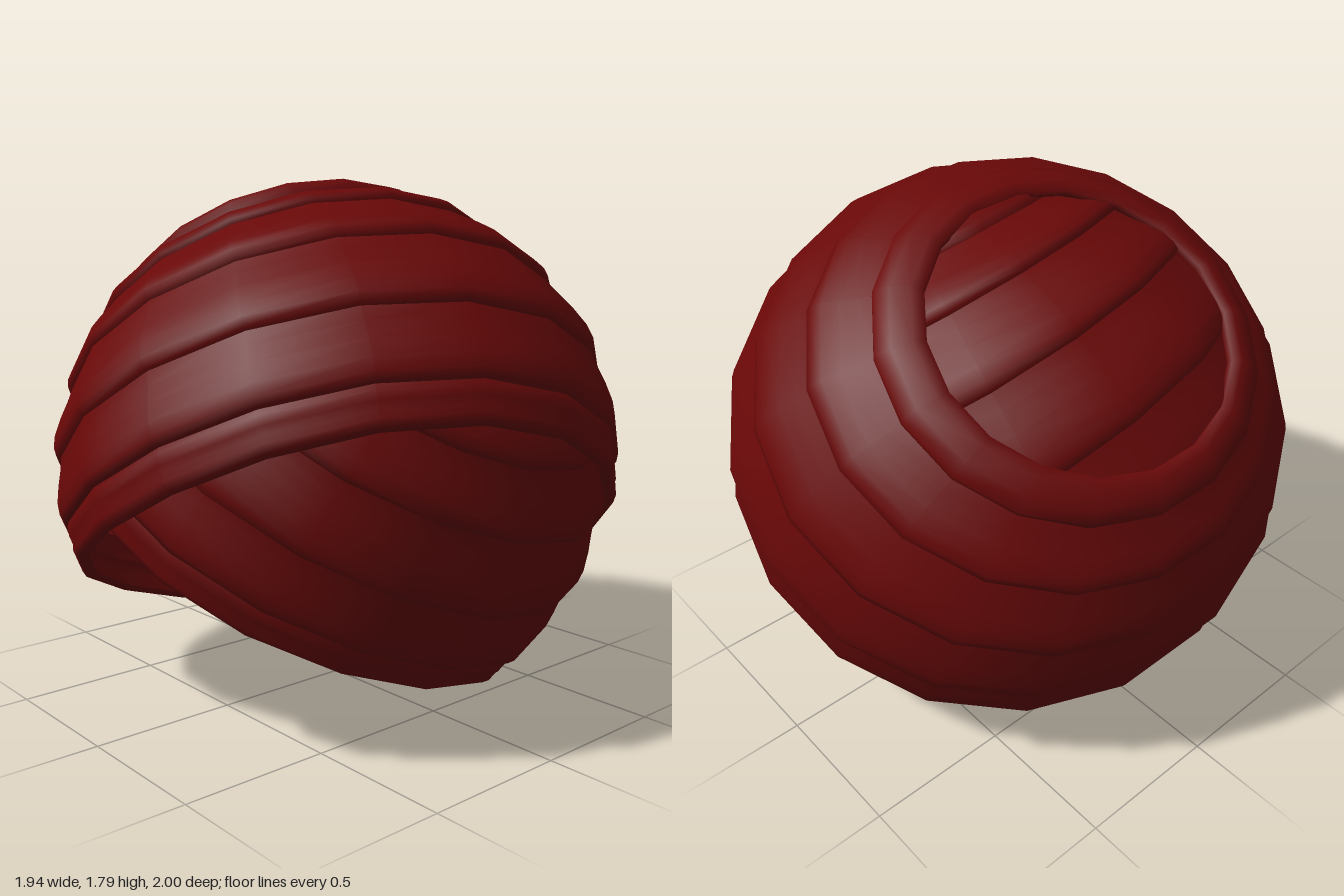
import * as THREE from 'three';

const rad = THREE.MathUtils.degToRad;
const centre = new THREE.Vector3(0, 0.83, 0);
const stretch = new THREE.Vector3(1.01, 1.005, 1.02);
const rimAxis = new THREE.Vector3(-0.472, 0.844, -0.25).normalize();
const crownAxis = new THREE.Vector3(-0.56, 0.82, -0.11).normalize();

// Surface of turned rings: each profile point is [polar angle, radius], axisAt gives the tilt per angle;
// droop lowers the rings at front and back, most at the hem
function ringSurface(profile, axisAt, segments, side = 1, scale = 1, droop = 0) {
  const positions = [], index = [];
  for (const [angle, radius] of profile) {
    const n = axisAt(angle);
    const u = new THREE.Vector3(0, 0, 1).addScaledVector(n, -n.z).normalize();
    const v = new THREE.Vector3().crossVectors(n, u);
    for (let i = 0; i < segments; i++) {
      const a = (i / segments) * Math.PI * 2;
      const polar = rad(angle + droop * Math.cos(2 * a) * (angle / 110) ** 4);
      const p = n.clone().multiplyScalar(Math.cos(polar))
        .addScaledVector(u, Math.sin(polar) * Math.cos(a))
        .addScaledVector(v, Math.sin(polar) * Math.sin(a));
      p.multiplyScalar(radius * scale).multiply(stretch);
      p.x *= side;
      p.add(centre);
      positions.push(p.x, p.y, p.z);
    }
  }
  for (let r = 0; r < profile.length - 1; r++) {
    for (let i = 0; i < segments; i++) {
      const a = r * segments + i, b = r * segments + (i + 1) % segments;
      const c = a + segments, d = b + segments;
      if (side > 0) index.push(a, c, b, b, c, d);
      else index.push(a, b, c, b, d, c);
    }
  }
  const geometry = new THREE.BufferGeometry();
  geometry.setAttribute('position', new THREE.Float32BufferAttribute(positions, 3));
  geometry.setIndex(index);
  geometry.computeVertexNormals();
  return geometry;
}

// Tilt drifts from the crown opening to the lower rim
function wrapAxis(angle) {
  const t = THREE.MathUtils.clamp((angle - 31) / 78, 0, 1);
  return crownAxis.clone().lerp(rimAxis, t).normalize();
}

// Overlapping folds; each lower edge stands proud of the fold below
function foldProfiles() {
  const edges = [41, 54, 69.5, 87, 102];
  const folds = [[[34, 0.89], [32, 0.905], [31.7, 0.925], [33.5, 0.947], [37, 0.958], [40, 0.952], [41, 0.925]]];
  for (let k = 0; k < edges.length - 1; k++) {
    const a = edges[k], b = edges[k + 1], w = b - a, r = 0.93 + k * 0.009;
    folds.push([
      [a - 1, r - 0.005], [a + w * 0.2, r], [a + w * 0.45, r + 0.013],
      [a + w * 0.7, r + 0.026], [a + w * 0.87, r + 0.028], [b - 0.3, r + 0.02], [b, r],
    ]);
  }
  // rolled hem
  folds.push([[101, 0.955], [103, 0.972], [105, 0.977], [106.5, 0.971], [108, 0.982],
    [109.6, 0.976], [110.4, 0.96], [109.8, 0.938]]);
  return folds;
}

function makeWrap(name, side, scale, material) {
  const wrap = new THREE.Group();
  wrap.name = name;
  foldProfiles().forEach((profile, i) => {
    const fold = new THREE.Mesh(ringSurface(profile, wrapAxis, 18, side, scale, 2.4), material);
    fold.name = i === 0 ? 'crownRoll' : i === 5 ? 'hemRoll' : 'fold' + i;
    wrap.add(fold);
  });
  return wrap;
}

export function createModel() {
  const cloth = new THREE.MeshStandardMaterial({ color: 0x690808, side: THREE.DoubleSide });
  cloth.name = 'dark red cloth';

  const model = new THREE.Group();
  model.name = 'headWrap';
  model.add(makeWrap('outerWrap', 1, 1, cloth));
  // the inner wrap sits towards its open side so it stays under the outer one
  const innerWrap = makeWrap('innerWrap', -1, 0.962, cloth);
  innerWrap.position.x = 0.02;
  model.add(innerWrap);

  // Open inner cap, its mouth tilted down to the front
  const capAxis = new THREE.Vector3(0, 0.887, -0.461).normalize();
  const profile = [];
  for (let i = 0; i <= 12; i++) {
    const t = i / 12;
    profile.push([Math.max(0.1, t * 127), 0.86 + 0.035 * t ** 4]);
  }
  const cap = new THREE.Mesh(ringSurface(profile, () => capAxis, 32), cloth);
  cap.name = 'innerCap';
  cap.position.y = -0.018;
  model.add(cap);
  return model;
}
